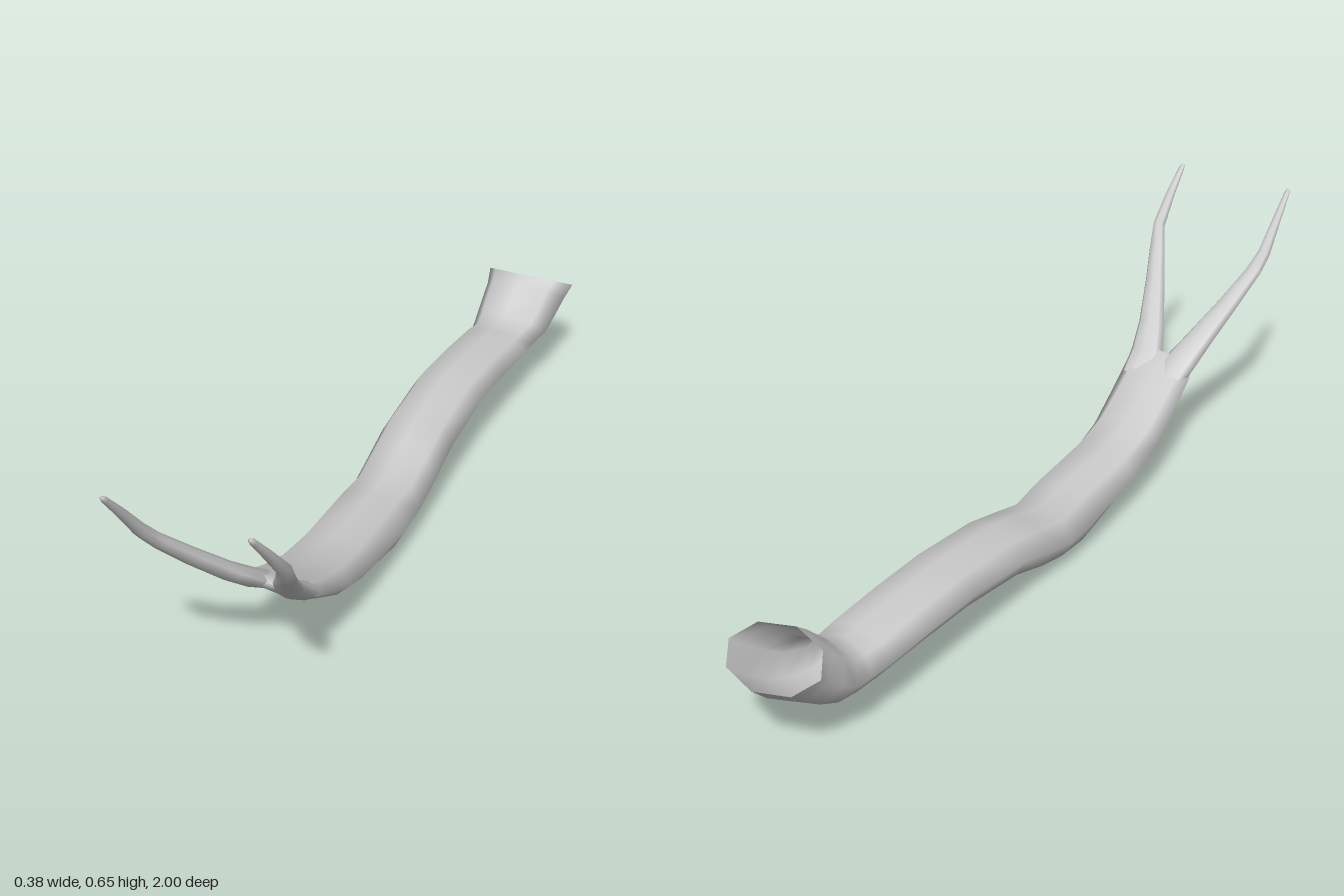
import * as THREE from 'three';

const SIDES = 8;

// Skins a row of oval rings. Each ring: [zTop, yTop, zBottom, yBottom, xCentre, halfWidth, flatten]
function loft(rings, material, name, capEnd) {
  const pos = [], index = [];
  for (const [zt, yt, zb, yb, cx, hw, flatten = 0] of rings) {
    for (let j = 0; j < SIDES; j++) {
      const a = (j / SIDES) * Math.PI * 2;
      let t = (1 + Math.cos(a)) / 2;
      if (Math.abs(j - SIDES / 2) === SIDES / 2 - 1) t += flatten; // raise the shoulders beside the ridge
      pos.push(cx + hw * Math.sin(a), yb + (yt - yb) * t, zb + (zt - zb) * t);
    }
  }
  for (let i = 0; i < rings.length - 1; i++) {
    for (let j = 0; j < SIDES; j++) {
      const a = i * SIDES + j, b = i * SIDES + (j + 1) % SIDES;
      index.push(a, a + SIDES, b, b, a + SIDES, b + SIDES);
    }
  }
  if (capEnd) {
    const base = (rings.length - 1) * SIDES;
    const [zt, yt, zb, yb, cx] = rings[rings.length - 1];
    pos.push(cx, (yt + yb) / 2, (zt + zb) / 2);
    for (let j = 0; j < SIDES; j++) index.push(base + j, base + SIDES, base + (j + 1) % SIDES);
  }
  const geometry = new THREE.BufferGeometry();
  geometry.setAttribute('position', new THREE.Float32BufferAttribute(pos, 3));
  geometry.setIndex(index);
  geometry.computeVertexNormals();
  const mesh = new THREE.Mesh(geometry, material);
  mesh.name = name;
  return mesh;
}

export function createModel() {
  const group = new THREE.Group();
  group.name = 'forkedTongue';
  const material = new THREE.MeshStandardMaterial({ color: 0xcccccc, side: THREE.DoubleSide });

  // Body with the open flared root at the back
  group.add(loft([
    [-0.86, 0.29, -1.0, 0.215, -0.066, 0.122],
    [-0.835, 0.27, -0.96, 0.175, -0.068, 0.113],
    [-0.8, 0.235, -0.91, 0.14, -0.072, 0.108],
    [-0.77, 0.205, -0.85, 0.11, -0.074, 0.102],
    [-0.73, 0.195, -0.78, 0.093, -0.076, 0.09],
    [-0.69, 0.2, -0.71, 0.097, -0.078, 0.095],
    [-0.55, 0.212, -0.55, 0.099, -0.078, 0.095],
    [-0.4, 0.217, -0.4, 0.097, -0.077, 0.095],
    [-0.2, 0.197, -0.2, 0.068, -0.068, 0.095],
    [-0.1, 0.172, -0.09, 0.03, -0.062, 0.095],
    [0, 0.14, 0, 0.01, -0.057, 0.094, 0.03],
    [0.1, 0.15, 0.1, 0.0, -0.05, 0.095, 0.06],
    [0.3, 0.155, 0.3, 0.048, -0.038, 0.096, 0.08],
    [0.42, 0.175, 0.44, 0.1, -0.028, 0.096, 0.08],
    [0.53, 0.222, 0.56, 0.178, -0.014, 0.095, 0.06],
    [0.6, 0.257, 0.62, 0.222, -0.006, 0.094],
    [0.64, 0.278, 0.655, 0.255, -0.004, 0.083],
  ], material, 'body', true));

  // Two upswept prongs: [z, y, x, halfWidth, halfHeight]
  const prongs = {
    rightProng: [
      [0.58, 0.222, -0.05, 0.04, 0.018], [0.64, 0.262, -0.054, 0.046, 0.022],
      [0.7, 0.312, -0.074, 0.038, 0.021], [0.78, 0.39, -0.108, 0.029, 0.019],
      [0.85, 0.463, -0.138, 0.022, 0.016], [0.885, 0.505, -0.148, 0.0175, 0.015],
      [0.94, 0.577, -0.149, 0.012, 0.011], [0.99, 0.638, -0.149, 0.0075, 0.007],
      [0.997, 0.646, -0.149, 0.005, 0.004],
    ],
    leftProng: [
      [0.58, 0.222, 0.042, 0.04, 0.018], [0.64, 0.262, 0.046, 0.046, 0.022],
      [0.7, 0.312, 0.071, 0.038, 0.021], [0.78, 0.39, 0.113, 0.029, 0.019],
      [0.85, 0.463, 0.152, 0.022, 0.016], [0.885, 0.51, 0.17, 0.017, 0.015],
      [0.94, 0.577, 0.172, 0.013, 0.011], [0.99, 0.638, 0.169, 0.0075, 0.007],
      [0.997, 0.646, 0.168, 0.005, 0.004],
    ],
  };
  for (const [name, path] of Object.entries(prongs)) {
    // Rings lean back so they stand square to the rising path
    const rings = path.map(([z, y, x, hw, hh]) =>
      [z - hh * 0.75, y + hh * 0.66, z + hh * 0.75, y - hh * 0.66, x, hw]);
    group.add(loft(rings, material, name, true));
  }
  return group;
}
